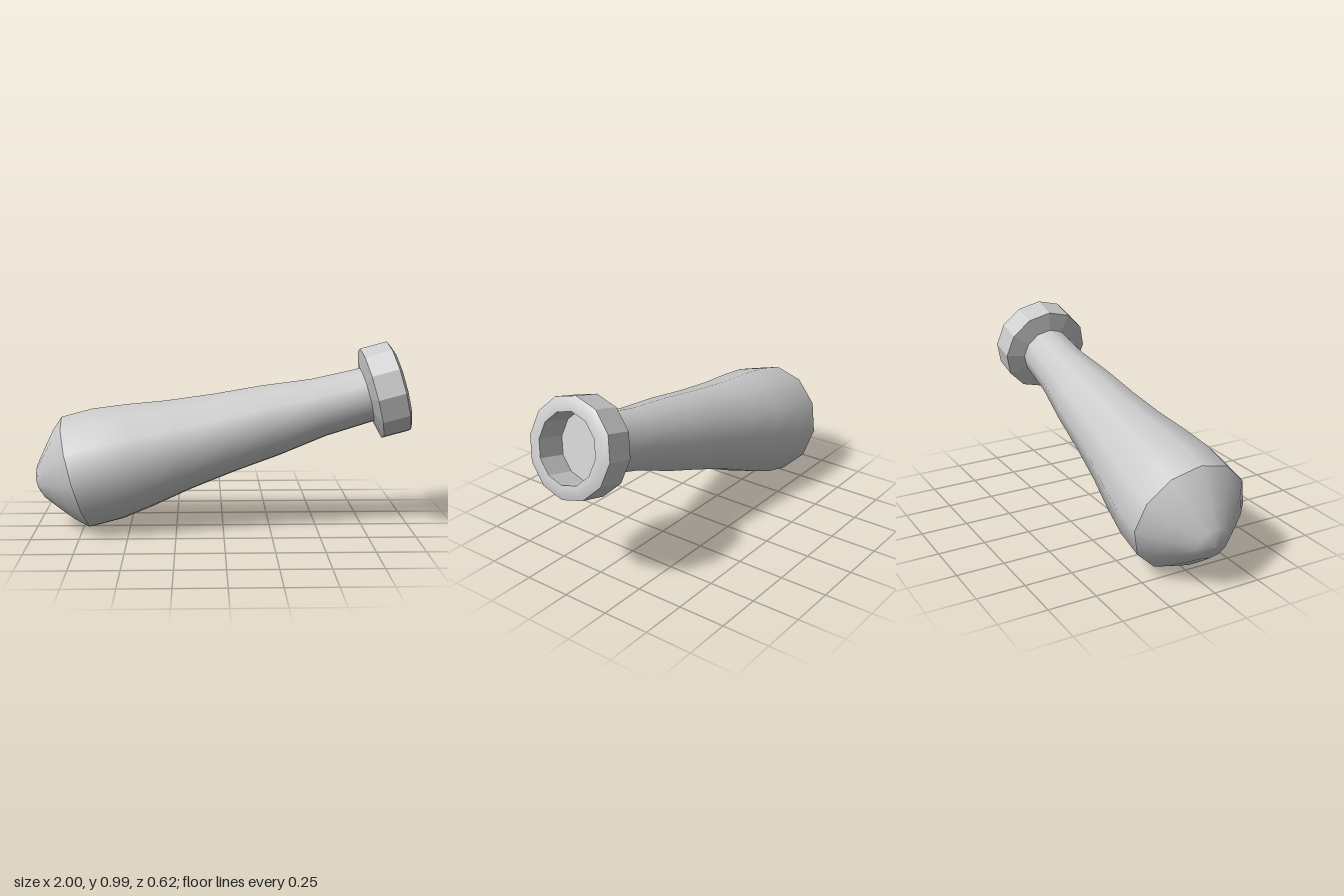
import * as THREE from 'three';

const SIDES = 12;

// Turned section: pairs of [radius, distance along the axis], listed breech to muzzle
function turned(name, profile, flatShading = false) {
  const points = profile.map(([r, s]) => new THREE.Vector2(r, s));
  const mesh = new THREE.Mesh(
    new THREE.LatheGeometry(points, SIDES),
    new THREE.MeshStandardMaterial({ color: 0xcccccc, flatShading })
  );
  mesh.name = name;
  return mesh;
}

export function createModel() {
  const model = new THREE.Group();
  model.name = 'cannonBarrel';

  const barrel = new THREE.Group();
  barrel.name = 'tiltedBarrel';
  barrel.add(
    // Rounded rear cap
    turned('breechCap', [[0, -0.9], [0.045, -0.891], [0.09, -0.872], [0.175, -0.802], [0.25, -0.737], [0.31, -0.67]]),
    // Long tapering tube
    turned('tube', [[0.31, -0.67], [0.31, -0.504], [0.287, -0.33], [0.25, -0.115], [0.218, 0.14], [0.195, 0.39], [0.159, 0.66], [0.148, 0.92]]),
    // Muzzle ring: back, faceted band, softened front
    turned('muzzleRingBack', [[0.148, 0.92], [0.248, 0.945]], true),
    turned('muzzleRingBand', [[0.248, 0.945], [0.248, 1.09]], true),
    turned('muzzleRingFace', [[0.248, 1.09], [0.211, 1.107], [0.175, 1.105]]),
    // Shallow bore with a flat floor
    turned('boreWall', [[0.175, 1.105], [0.175, 0.95]], true),
    turned('boreFloor', [[0.175, 0.95], [0, 0.95]], true)
  );

  // Raise the muzzle 15 degrees toward +x
  barrel.rotation.z = -THREE.MathUtils.degToRad(75);
  barrel.position.set(-0.128, 0.478, 0);
  model.add(barrel);
  return model;
}
